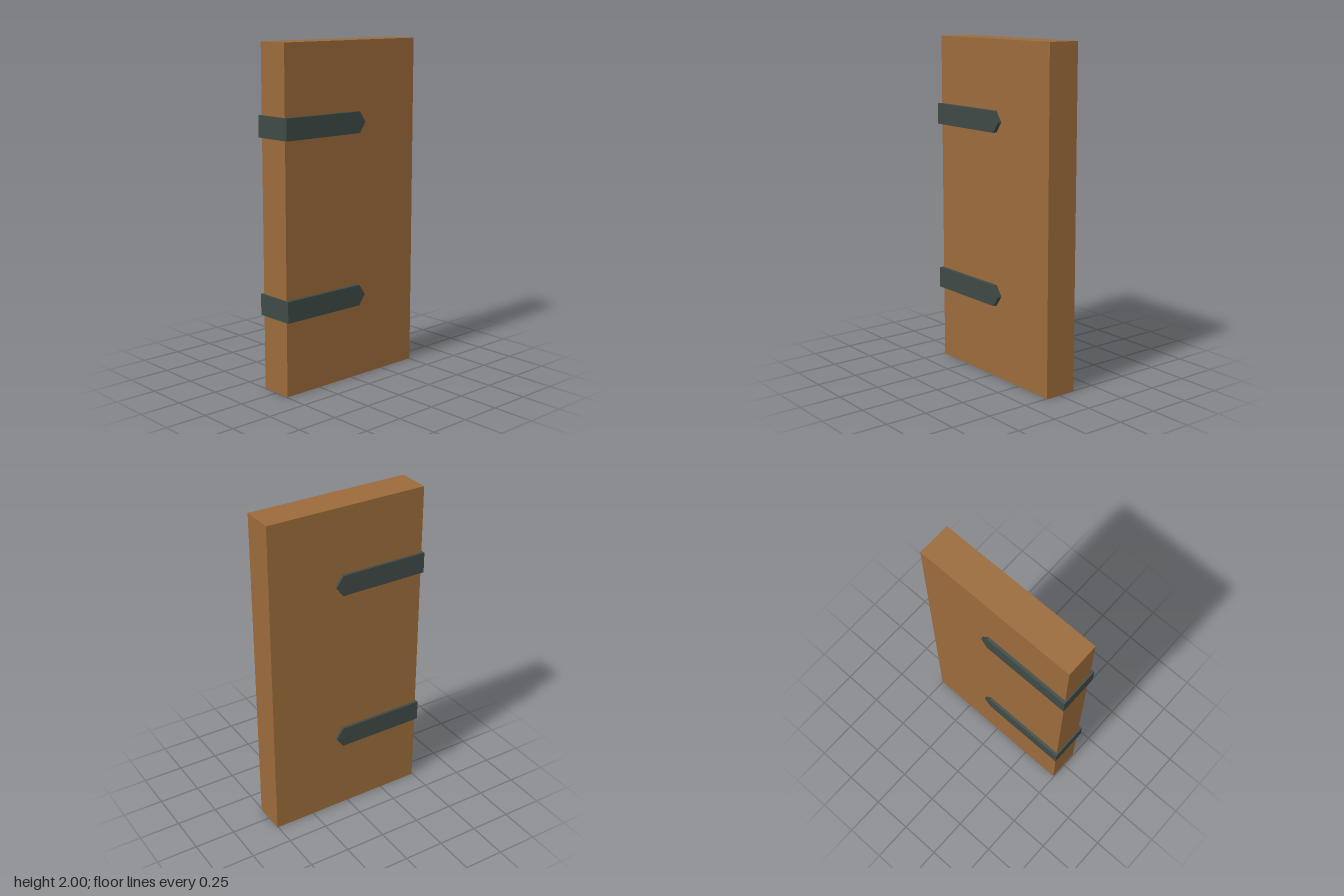
import * as THREE from 'three';

const wood = new THREE.MeshStandardMaterial({ color: 0x9a6a3a, name: 'wood' });
const iron = new THREE.MeshStandardMaterial({ color: 0x3e4945, name: 'darkIron' });

const STRAP_HEIGHT = 0.125;
const LEFT = -0.505, SHOULDER = 0.043, TIP = 0.087; // strap positions along x
const OUTER = 0.121; // outer faces of the straps
const BOARD_FRONT = 0.096, BOARD_BACK = -0.104, BOARD_EDGE = -0.495;

// Pointed plate lying between two depths
function strapPlate(name, zFrom, zTo) {
  const h = STRAP_HEIGHT / 2;
  const shape = new THREE.Shape([
    new THREE.Vector2(LEFT, -h),
    new THREE.Vector2(SHOULDER, -h),
    new THREE.Vector2(TIP, 0),
    new THREE.Vector2(SHOULDER, h),
    new THREE.Vector2(LEFT, h),
  ]);
  const geometry = new THREE.ExtrudeGeometry(shape, { depth: zTo - zFrom, bevelEnabled: false });
  const mesh = new THREE.Mesh(geometry, iron);
  mesh.name = name;
  mesh.position.z = zFrom;
  return mesh;
}

// Hinge strap folded round the edge of the door
function hingeStrap(name, y) {
  const strap = new THREE.Group();
  strap.name = name;
  strap.position.y = y;
  const wrap = new THREE.Mesh(
    new THREE.BoxGeometry(BOARD_EDGE - LEFT, STRAP_HEIGHT, BOARD_FRONT - BOARD_BACK), iron);
  wrap.name = 'strapWrap';
  wrap.position.set((BOARD_EDGE + LEFT) / 2, 0, (BOARD_FRONT + BOARD_BACK) / 2);
  strap.add(
    strapPlate('strapFront', BOARD_FRONT, OUTER),
    strapPlate('strapBack', -OUTER, BOARD_BACK),
    wrap
  );
  return strap;
}

export function createModel() {
  const door = new THREE.Group();
  door.name = 'door';

  // Plain wooden slab
  const board = new THREE.Mesh(new THREE.BoxGeometry(1, 2, BOARD_FRONT - BOARD_BACK), wood);
  board.name = 'doorBoard';
  board.position.set(BOARD_EDGE + 0.5, 1, (BOARD_FRONT + BOARD_BACK) / 2);

  door.add(board, hingeStrap('upperHinge', 1.533), hingeStrap('lowerHinge', 0.506));
  return door;
}
